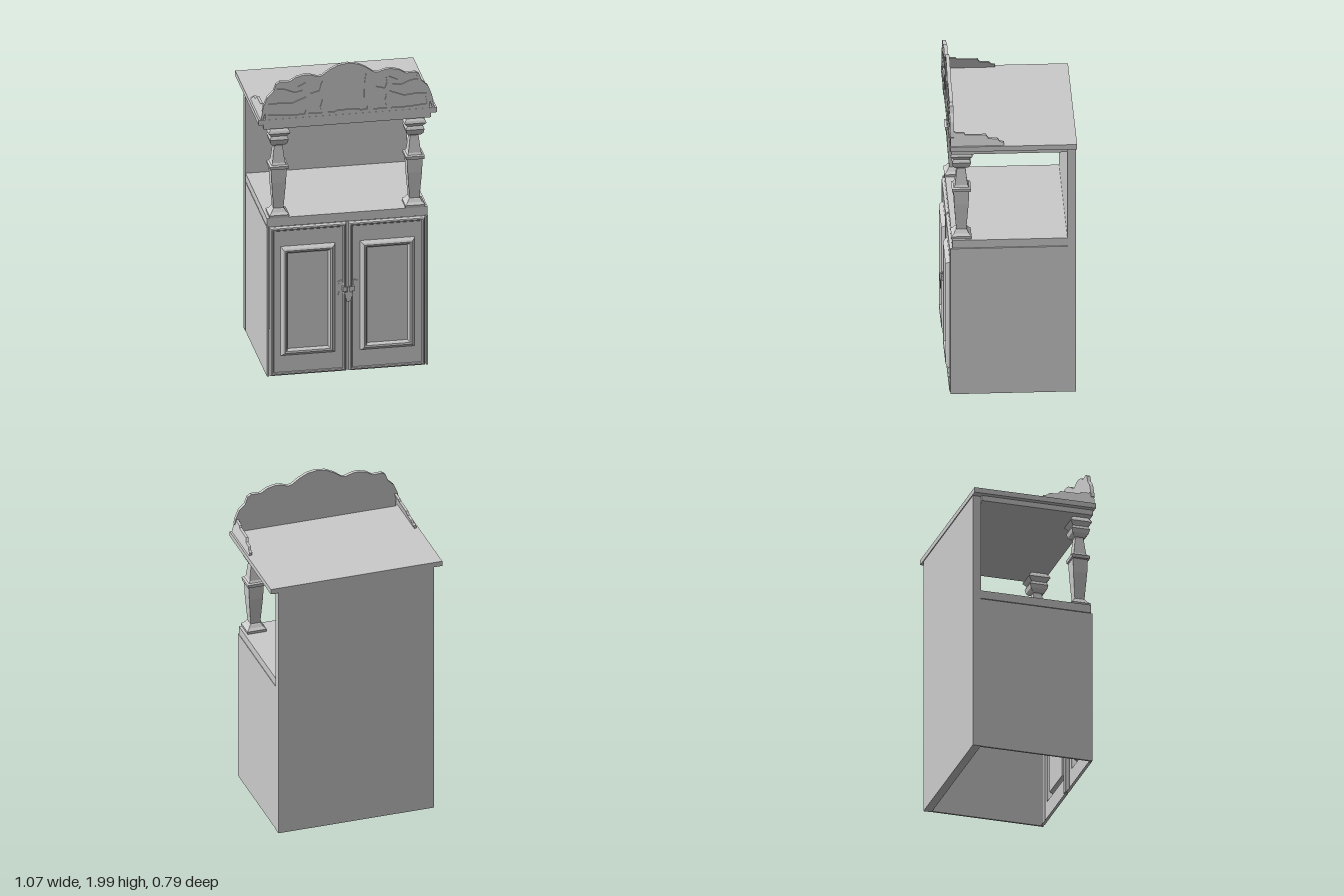
import * as THREE from 'three';

const mat = new THREE.MeshStandardMaterial({ color: 0xcccccc, flatShading: true, side: THREE.DoubleSide });

function add(parent, name, geometry) {
  const mesh = new THREE.Mesh(geometry, mat);
  mesh.name = name;
  parent.add(mesh);
  return mesh;
}

// Box given by its limits on each axis
function box(parent, name, x0, x1, y0, y1, z0, z1) {
  const mesh = add(parent, name, new THREE.BoxGeometry(x1 - x0, y1 - y0, z1 - z0));
  mesh.position.set((x0 + x1) / 2, (y0 + y1) / 2, (z0 + z1) / 2);
  return mesh;
}

// Mitred panel: nested rectangles [x0, x1, y0, y1, z] joined by strips, last one capped
function nestedPanel(rects) {
  const pos = [];
  const corners = ([x0, x1, y0, y1, z]) => [[x0, y0, z], [x1, y0, z], [x1, y1, z], [x0, y1, z]];
  const quad = (a, b, c, d) => pos.push(...a, ...b, ...c, ...a, ...c, ...d);
  for (let i = 0; i < rects.length - 1; i++) {
    const a = corners(rects[i]), b = corners(rects[i + 1]);
    for (let k = 0; k < 4; k++) {
      const n = (k + 1) % 4;
      quad(a[k], a[n], b[n], b[k]);
    }
  }
  quad(...corners(rects[rects.length - 1]));
  const g = new THREE.BufferGeometry();
  g.setAttribute('position', new THREE.Float32BufferAttribute(pos, 3));
  g.computeVertexNormals();
  return g;
}

// Rectangle steps: each [inset, z] shrinks the starting rectangle
const steps = ([x0, x1, y0, y1], profile) => profile.map(([d, z]) => [x0 + d, x1 - d, y0 + d, y1 - d, z]);

const vecs = (pts) => pts.map(([x, y]) => new THREE.Vector2(x, y));
const mirrored = (pts) => pts.map(([x, y]) => [-x, y]);

function createDoor(x0, x1) {
  const left = x0 > 0 ? 0.075 : -0.405;
  const rects = [
    // rolled outer edge
    ...steps([x0, x1, 0.01, 0.967], [[0, 0.335], [0, 0.348], [0.005, 0.357], [0.012, 0.36], [0.019, 0.358], [0.023, 0.353]]),
    // raised moulding and sunken field
    ...steps([left, left + 0.33, 0.14, 0.845], [[0, 0.353], [0.003, 0.361], [0.012, 0.373], [0.022, 0.379], [0.033, 0.377], [0.04, 0.368], [0.043, 0.354]]),
  ];
  return nestedPanel(rects);
}

function createPost() {
  // half-width and height up the square turned post
  const profile = [
    [0, 1.028], [0.058, 1.028], [0.06, 1.045], [0.045, 1.058], [0.035, 1.075], [0.03, 1.08],
    [0.043, 1.25], [0.046, 1.335], [0.055, 1.338], [0.057, 1.358], [0.045, 1.363], [0.038, 1.375],
    [0.026, 1.475], [0.026, 1.485], [0.038, 1.49], [0.05, 1.505], [0.056, 1.53], [0.05, 1.545],
    [0.046, 1.55], [0.066, 1.575], [0.06, 1.59], [0.045, 1.607], [0, 1.607],
  ];
  return new THREE.LatheGeometry(vecs(profile.map(([r, y]) => [r * Math.SQRT2, y])), 4, Math.PI / 4);
}

function createCrest(parent) {
  const crest = new THREE.Group();
  crest.name = 'crest';
  parent.add(crest);
  const half = [
    [0.06, 1.99], [0.11, 1.965], [0.155, 1.932], [0.18, 1.927], [0.225, 1.942], [0.26, 1.945], [0.31, 1.933],
    [0.35, 1.908], [0.41, 1.91], [0.432, 1.895], [0.447, 1.852], [0.485, 1.815], [0.507, 1.76],
    [0.515, 1.725], [0.497, 1.71], [0.497, 1.672],
  ];
  const outline = vecs([[0, 2], ...half, ...mirrored(half).reverse()]);

  // carved hollows in the front layer
  const shieldHalf = [
    [0.06, 1.972], [0.098, 1.95], [0.11, 1.92], [0.102, 1.86], [0.1, 1.77], [0.12, 1.72], [0.118, 1.695], [0.08, 1.69], [0.06, 1.7],
  ];
  const sideHollows = [
    [[0.15, 1.9], [0.19, 1.915], [0.23, 1.905], [0.238, 1.86], [0.225, 1.82], [0.17, 1.835], [0.162, 1.87]],
    [[0.15, 1.78], [0.165, 1.795], [0.235, 1.785], [0.225, 1.74], [0.238, 1.692], [0.155, 1.69], [0.165, 1.73]],
    [[0.25, 1.895], [0.3, 1.912], [0.35, 1.89], [0.415, 1.892], [0.425, 1.865], [0.38, 1.86], [0.32, 1.835], [0.27, 1.845], [0.3, 1.87]],
    [[0.25, 1.8], [0.31, 1.82], [0.37, 1.81], [0.42, 1.835], [0.455, 1.815], [0.48, 1.77], [0.41, 1.772], [0.34, 1.765], [0.29, 1.785]],
    [[0.25, 1.72], [0.3, 1.745], [0.38, 1.735], [0.47, 1.75], [0.48, 1.7], [0.37, 1.69], [0.26, 1.69]],
  ];
  const face = new THREE.Shape(outline);
  const hollows = [[...shieldHalf, ...mirrored(shieldHalf).reverse()], ...sideHollows, ...sideHollows.map(mirrored)];
  face.holes = hollows.map((h) => new THREE.Path(vecs(h)));

  add(crest, 'crestBack', new THREE.ExtrudeGeometry(new THREE.Shape(outline), { depth: 0.015, bevelEnabled: false })).position.z = 0.335;
  add(crest, 'crestCarving', new THREE.ExtrudeGeometry(face, { depth: 0.007, bevelEnabled: false })).position.z = 0.35;

  // stepped side rails, leaning inward as they rise
  const rail = new THREE.Shape(vecs([
    [0.355, 1.67], [0.355, 1.76], [0.34, 1.76], [0.325, 1.75], [0.275, 1.748], [0.268, 1.737], [0.145, 1.735],
    [0.13, 1.713], [0.075, 1.71], [0.065, 1.695], [0.038, 1.69], [0.038, 1.67],
  ]));
  for (const s of [1, -1]) {
    const g = new THREE.ExtrudeGeometry(rail, { depth: 0.016, bevelEnabled: false });
    const p = g.attributes.position;
    for (let i = 0; i < p.count; i++) {
      const z = p.getX(i), y = p.getY(i), d = p.getZ(i);
      p.setXYZ(i, s * (0.51 + d - (y - 1.67) * 0.27), y, z);
    }
    g.computeVertexNormals();
    add(crest, s > 0 ? 'leftRail' : 'rightRail', g);
  }
}

function createLatch(parent) {
  const latch = new THREE.Group();
  latch.name = 'latch';
  parent.add(latch);
  for (const s of [1, -1]) {
    const plate = new THREE.Shape(vecs([
      [0.03, 0.515], [0.04, 0.5], [0.058, 0.505], [0.052, 0.53], [0.052, 0.57], [0.058, 0.595], [0.035, 0.6], [0.03, 0.585],
    ].map(([x, y]) => [s * x, y])));
    add(latch, 'latchPlate', new THREE.ExtrudeGeometry(plate, { depth: 0.009, bevelEnabled: false })).position.z = 0.352;
    box(latch, 'latchArm', s * 0.031 - 0.004, s * 0.031 + 0.004, 0.535, 0.565, 0.355, 0.385);
  }
  box(latch, 'latchBar', -0.035, 0.035, 0.535, 0.565, 0.376, 0.384);
  box(latch, 'latchPin', -0.008, 0.008, 0.53, 0.57, 0.38, 0.396);
  const drop = new THREE.Shape(vecs([[-0.027, 0.535], [0.027, 0.535], [0.02, 0.505], [0.012, 0.475], [-0.012, 0.475], [-0.02, 0.505]]));
  add(latch, 'latchDrop', new THREE.ExtrudeGeometry(drop, { depth: 0.006, bevelEnabled: false })).position.z = 0.386;
}

export function createModel() {
  const model = new THREE.Group();
  model.name = 'cupboard';

  // Carcass, open underneath
  box(model, 'backPanel', -0.488, 0.488, 0.01, 1.64, -0.39, -0.34);
  box(model, 'counter', -0.485, 0.485, 0.977, 1.028, -0.34, 0.343);
  box(model, 'counterUnderlay', -0.475, 0.475, 0.968, 0.977, -0.34, 0.335);
  box(model, 'doorStile', -0.014, 0.014, 0.012, 0.97, 0.33, 0.342);

  // Upper shelf with its moulding
  box(model, 'topMoulding', -0.505, 0.505, 1.607, 1.64, -0.34, 0.35);
  box(model, 'topBoard', -0.537, 0.537, 1.64, 1.672, -0.395, 0.358);

  // Paired sides, doors and posts
  for (const s of [1, -1]) {
    const side = s > 0 ? 'left' : 'right';
    box(model, side + 'Wall', s * 0.48 - 0.006, s * 0.48 + 0.006, 0.01, 0.973, -0.34, 0.353);
    add(model, side + 'Door', s > 0 ? createDoor(0.008, 0.468) : createDoor(-0.468, -0.008));
    add(model, side + 'Post', createPost()).position.set(s * 0.41, 0, 0.288);
  }

  createLatch(model);
  createCrest(model);
  model.position.y = 0;
  return model;
}
